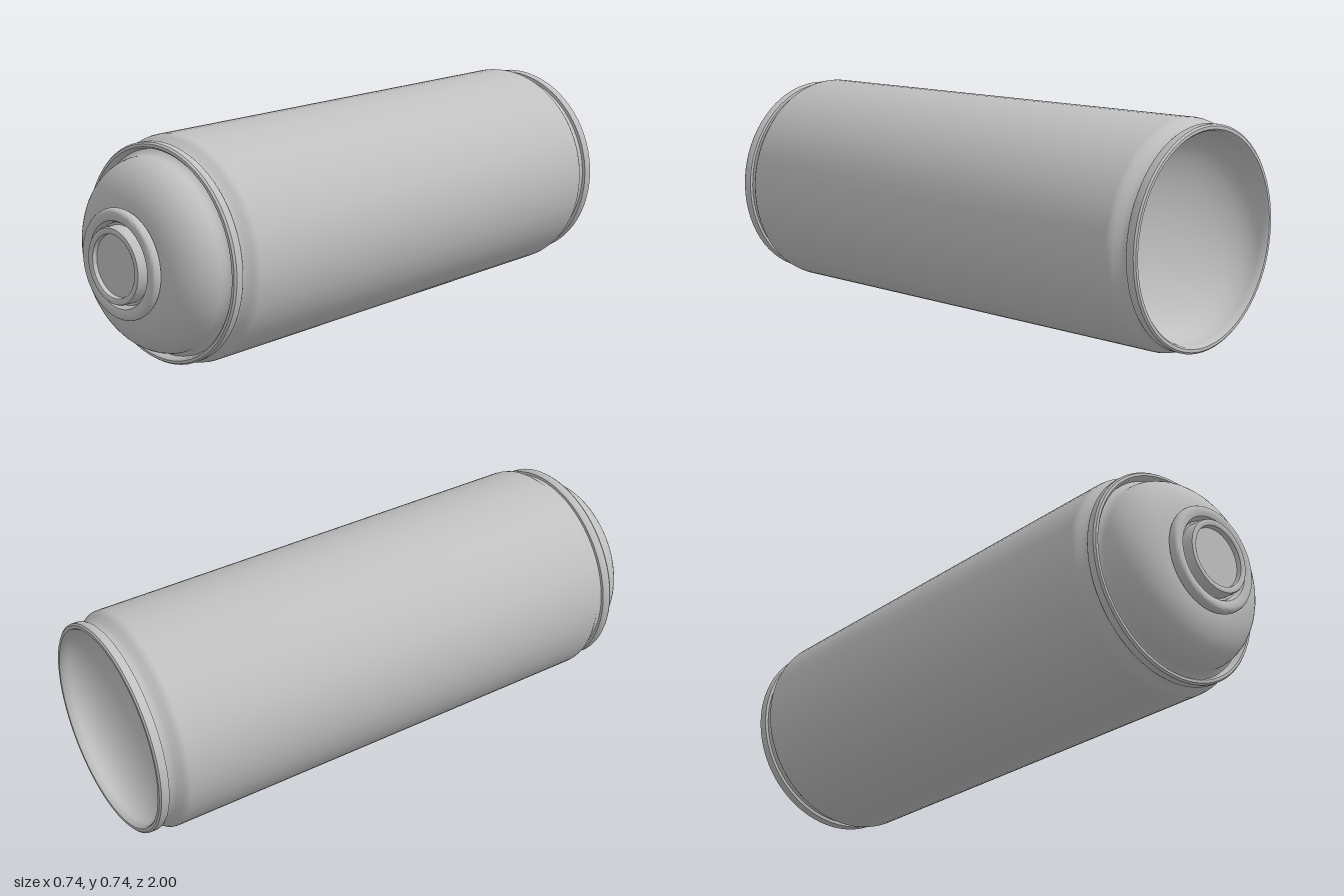
import * as THREE from 'three';
import { toCreasedNormals } from 'three/addons/utils/BufferGeometryUtils.js';

const RADIUS = 0.371;
const SEGMENTS = 72;

export function createModel() {
  const group = new THREE.Group();
  group.name = 'sprayCan';
  const metal = new THREE.MeshStandardMaterial({ color: 0xc0c0c0 });
  metal.name = 'grey metal';

  // Turns a [radius, z] profile, listed back to front, around the can's axis
  function turned(name, profile) {
    const points = profile.map(([r, z]) => new THREE.Vector2(r, z));
    const lathe = new THREE.LatheGeometry(points, SEGMENTS);
    lathe.rotateX(Math.PI / 2);
    const mesh = new THREE.Mesh(toCreasedNormals(lathe, 0.6), metal);
    mesh.name = name;
    mesh.position.y = RADIUS;
    group.add(mesh);
  }

  // Elliptical arc of profile points around (r0, z0)
  function arc(r0, z0, rr, rz, from, to, steps) {
    return Array.from({ length: steps + 1 }, (_, i) => {
      const a = from + ((to - from) * i) / steps;
      return [Math.max(0, r0 + rr * Math.cos(a)), z0 + rz * Math.sin(a)];
    });
  }
  const Q = Math.PI / 2;

  // Hollow base, domed inward
  turned('concaveBase', arc(0, -0.98, 0.333, 0.16, Q, 0, 16));

  // Rolled seam around the base
  turned('baseRim', [
    [0.333, -0.975], [0.336, -0.994], [0.341, -1], [0.351, -1], [0.357, -0.995],
    [0.357, -0.972], [0.354, -0.966], [0.343, -0.965],
  ]);

  // Long cylinder, necked in at both ends
  turned('body', [
    [0.343, -0.967], [0.344, -0.95], [0.35, -0.938], [0.362, -0.922], [0.369, -0.911],
    [RADIUS, -0.9], [RADIUS, 0.725], [0.369, 0.737], [0.362, 0.748], [0.35, 0.764],
    [0.345, 0.774], [0.344, 0.79],
  ]);

  // Rolled seam around the shoulder
  turned('shoulderRim', [
    [0.343, 0.783], [0.354, 0.784], [0.357, 0.789], [0.357, 0.812], [0.352, 0.819],
    [0.343, 0.82], [0.337, 0.814], [0.333, 0.795],
  ]);

  // Domed top
  turned('dome', [
    [0.334, 0.796], [0.325, 0.803], [0.317, 0.817],
    ...arc(0.15, 0.817, 0.167, 0.133, 0.15, Q, 12), [0.12, 0.952],
  ]);

  // Rounded collar with a groove inside it
  turned('valveCollar', [
    [0.14, 0.945], [0.165, 0.947], ...arc(0.163, 0.966, 0.015, 0.018, -Q * 0.7, Q, 8),
    [0.15, 0.983], [0.14, 0.979], [0.134, 0.97], [0.131, 0.96], [0.122, 0.958],
  ]);

  // Valve cup with a shallow recess
  turned('valveCup', [
    [0.124, 0.955], [0.124, 0.993], [0.121, 0.999], [0.116, 1], [0.107, 1],
    [0.102, 0.997], [0.1, 0.982], [0, 0.982],
  ]);

  return group;
}
